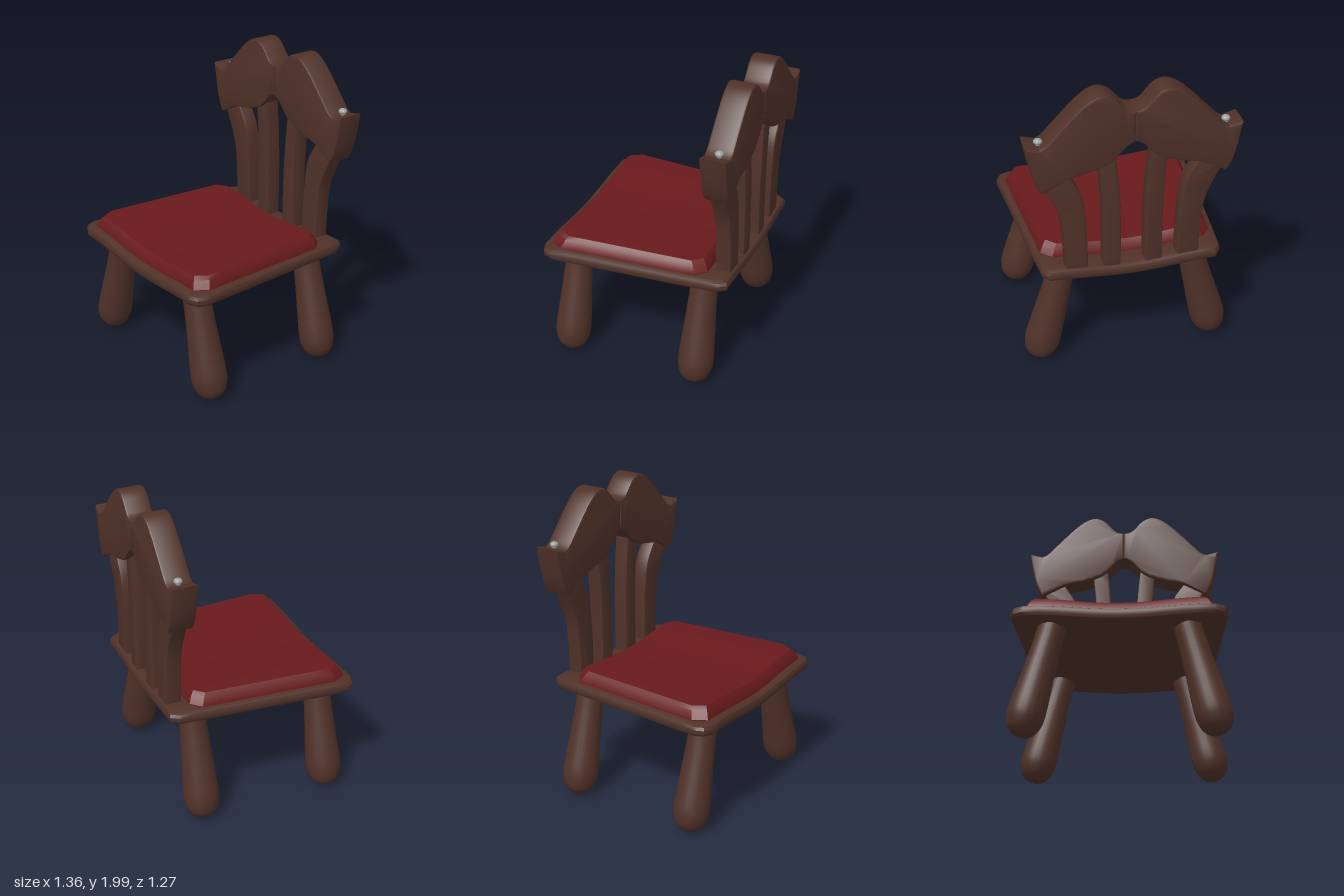
import * as THREE from 'three';
import { toCreasedNormals } from 'three/addons/utils/BufferGeometryUtils.js';

const wood = new THREE.MeshStandardMaterial({ color: 0x4f3128 });
const fabric = new THREE.MeshStandardMaterial({ color: 0x681a1c });
const metal = new THREE.MeshStandardMaterial({ color: 0x9aa3a3 });

function add(parent, name, geometry, material) {
  const mesh = new THREE.Mesh(geometry, material);
  mesh.name = name;
  parent.add(mesh);
  return mesh;
}

const smooth = (pts, n) =>
  new THREE.SplineCurve(pts.map(([x, y]) => new THREE.Vector2(x, y))).getPoints(n);

// Bevelled board cut from an outline in the xy plane, filling z0..z1
function board(points, side, z0, z1, bevel) {
  const shape = new THREE.Shape(points.map(p => new THREE.Vector2(p.x * side, p.y)));
  const geo = new THREE.ExtrudeGeometry(shape, {
    depth: z1 - z0 - 2 * bevel, bevelThickness: bevel, bevelSize: bevel,
    bevelOffset: -bevel, bevelSegments: 2,
  });
  geo.translate(0, 0, z0 + bevel);
  return toCreasedNormals(geo, 0.5);
}

// Dished slab: a mirrored half outline (x, z), stacked as rings [inset, y]
function slab(half, levels, sag) {
  const corners = [...half, ...half.slice(1, -1).reverse().map(([x, z]) => [-x, z])];
  const outline = [];
  corners.forEach(([x, z], i) => {
    const [x2, z2] = corners[(i + 1) % corners.length];
    const n = Math.ceil(Math.hypot(x2 - x, z2 - z) / 0.1);
    for (let k = 0; k < n; k++) outline.push([x + (x2 - x) * k / n, z + (z2 - z) * k / n]);
  });
  const cz = (half[0][1] + half[half.length - 1][1]) / 2;
  const sides = levels.map(([inset, y]) => [1 - inset / 0.58, y]);
  const first = sides[0], last = sides[sides.length - 1];
  const inner = [0.85, 0.7, 0.5, 0.25, 0];
  const rings = [
    ...inner.slice().reverse().map(f => [f * first[0], first[1]]),
    ...sides,
    ...inner.map(f => [f * last[0], last[1]]),
  ];
  const pos = [], index = [], n = outline.length;
  rings.forEach(([f, y], r) => outline.forEach(([ox, oz], j) => {
    const x = ox * f;
    const dip = Math.abs(x) < 0.54 ? sag * (0.5 + 0.5 * Math.cos(Math.PI * x / 0.54)) : 0;
    pos.push(x, y - dip, cz + (oz - cz) * f);
    if (r === rings.length - 1) return;
    const a = r * n + j, b = r * n + (j + 1) % n;
    if (f > 0) index.push(a, b, b + n);
    if (f === 0 || rings[r + 1][0] > 0) index.push(a, b + n, a + n);
  }));
  const geo = new THREE.BufferGeometry();
  geo.setAttribute('position', new THREE.Float32BufferAttribute(pos, 3));
  geo.setIndex(index);
  return toCreasedNormals(geo, 0.5);
}

export function createModel() {
  const chair = new THREE.Group();
  chair.name = 'chair';

  // Seat board, tapering to the back
  add(chair, 'seat', slab(
    [[0, 0.635], [0.59, 0.632], [0.645, 0.605], [0.668, 0.55], [0.595, -0.4],
      [0.58, -0.56], [0.54, -0.615], [0, -0.615]],
    [[0.03, 0.717], [0.008, 0.728], [0, 0.745], [0, 0.77], [0.008, 0.788], [0.03, 0.8]], 0.03), wood);

  // Cushion
  add(chair, 'cushion', slab(
    [[0, 0.585], [0.565, 0.58], [0.617, 0.495], [0.555, -0.4], [0.49, -0.462], [0, -0.462]],
    [[0, 0.76], [0, 0.805], [0.025, 0.855], [0.045, 0.875]], 0.037), fabric);

  // Club-shaped legs, splayed sideways
  const legProfile = smooth([[0, 0], [0.05, 0.012], [0.09, 0.048], [0.111, 0.105], [0.116, 0.17],
    [0.109, 0.29], [0.098, 0.45], [0.09, 0.6], [0.087, 0.73]], 28);
  legProfile[0].x = 0;
  const legGeo = new THREE.LatheGeometry(legProfile, 24);

  // Outlines of the half back rest and its slats, on the +x side
  const railHalf = [
    ...smooth([[0, 1.872], [0.055, 1.888], [0.12, 1.96], [0.165, 1.99], [0.21, 1.998], [0.27, 1.978],
      [0.35, 1.915], [0.47, 1.79], [0.54, 1.715], [0.58, 1.692]], 32),
    ...smooth([[0.667, 1.715], [0.643, 1.58], [0.61, 1.455], [0.572, 1.385]], 6),
    ...smooth([[0.415, 1.468], [0.257, 1.502], [0.14, 1.552], [0.055, 1.64], [0, 1.672]], 16),
  ];
  const outerSlat = [
    ...smooth([[0.43, 0.75], [0.432, 0.9], [0.448, 1.12], [0.485, 1.25], [0.55, 1.385], [0.575, 1.44]], 18),
    ...smooth([[0.39, 1.53], [0.415, 1.47], [0.335, 1.34], [0.302, 1.18], [0.29, 0.95], [0.287, 0.75]].slice(1), 18),
  ];
  const innerSlat = [
    ...smooth([[0.19, 0.75], [0.19, 1.1], [0.2, 1.35], [0.222, 1.57]], 10),
    ...smooth([[0.115, 1.61], [0.09, 1.35], [0.078, 1.1], [0.078, 0.75]], 10),
  ];

  for (const side of [1, -1]) {
    const label = side > 0 ? 'left' : 'right';
    for (const [end, z] of [['Front', 0.46], ['Back', -0.42]]) {
      const leg = add(chair, label + end + 'Leg', legGeo, wood);
      leg.position.set(side * 0.597, 0.006, z);
      leg.rotation.z = side * 0.25;
    }

    // Back rest: the two halves meet in a shallow groove
    add(chair, label + 'BackRest', board(railHalf, side, -0.632, -0.462, 0.014), wood);
    add(chair, label + 'OuterSlat', board(outerSlat, side, -0.592, -0.49, 0.012), wood);
    add(chair, label + 'InnerSlat', board(innerSlat, side, -0.592, -0.49, 0.012), wood);

    // Domed studs on the shoulders of the back rest
    const stud = add(chair, label + 'Stud', new THREE.SphereGeometry(0.027, 16, 10), metal);
    stud.position.set(side * 0.576, 1.716, -0.558);
    stud.scale.y = 0.7;
    const pin = add(chair, label + 'StudPin', new THREE.CylinderGeometry(0.016, 0.016, 0.05, 12), metal);
    pin.position.set(side * 0.576, 1.69, -0.558);
  }
  return chair;
}
